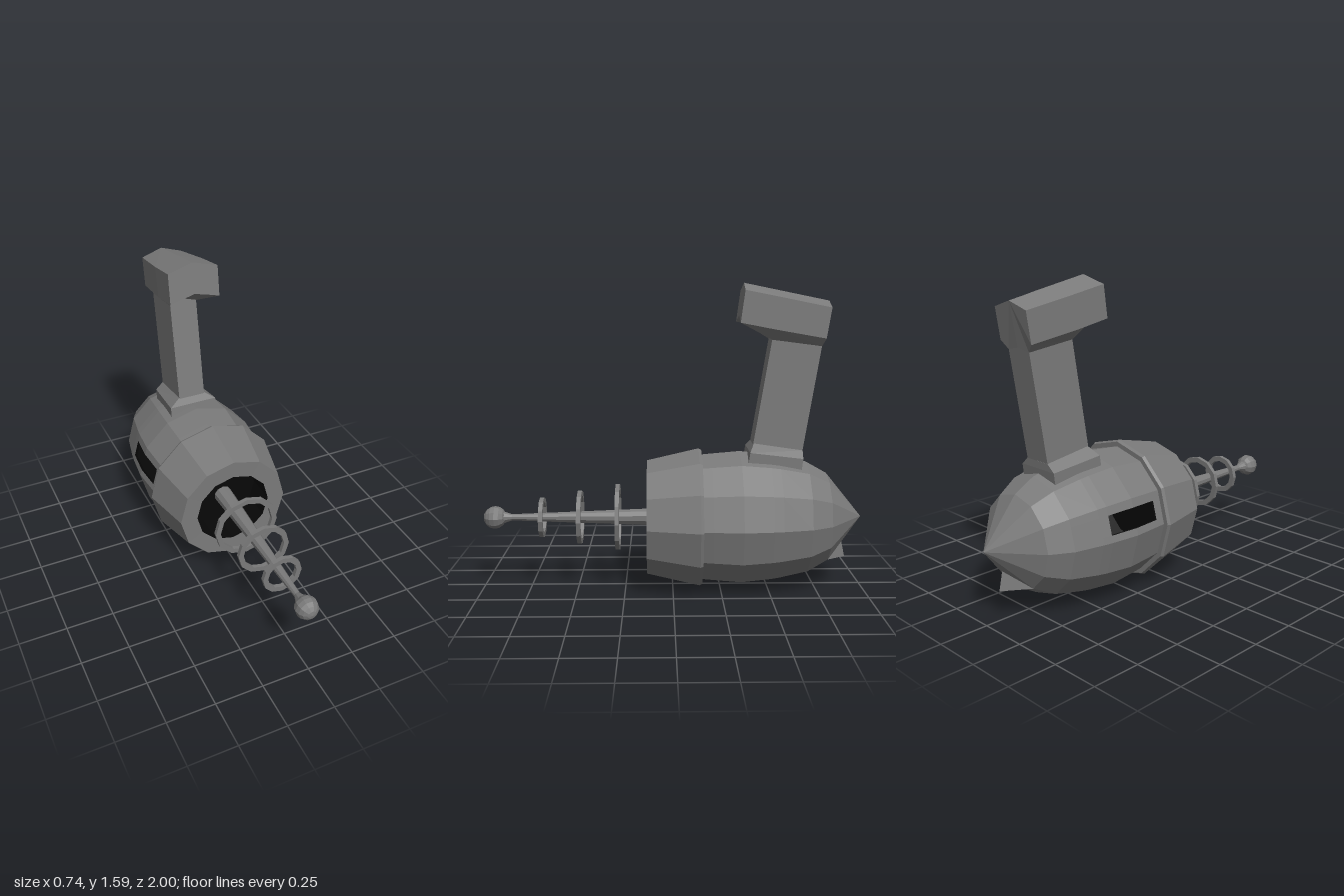
import * as THREE from 'three';

const AXIS = 0.37; // height of the barrel axis
const paint = (color, side) => new THREE.MeshStandardMaterial({ color, side, flatShading: true });
const grey = paint(0x7a7a7a, THREE.FrontSide);
const shellGrey = paint(0x7a7a7a, THREE.DoubleSide);
const dark = paint(0x080808, THREE.DoubleSide);

// Skins a row of equal-length loops; skip(section, side) leaves a panel open
function loft(loops, caps = true, skip = () => false) {
  const out = [];
  const n = loops[0].length;
  const tri = (a, b, c) => out.push(...a, ...b, ...c);
  for (let s = 0; s < loops.length - 1; s++) {
    for (let i = 0; i < n; i++) {
      if (skip(s, i)) continue;
      const j = (i + 1) % n;
      const a = loops[s], b = loops[s + 1];
      tri(a[i], b[i], a[j]);
      tri(a[j], b[i], b[j]);
    }
  }
  if (caps) {
    const first = loops[0], last = loops[loops.length - 1];
    for (let i = 1; i < n - 1; i++) {
      tri(first[0], first[i], first[i + 1]);
      tri(last[0], last[i + 1], last[i]);
    }
  }
  const g = new THREE.BufferGeometry();
  g.setAttribute('position', new THREE.Float32BufferAttribute(out, 3));
  g.computeVertexNormals();
  return g;
}

// Turned part lying along z; points are [radius, z]
function turned(points, sides) {
  const g = new THREE.LatheGeometry(points.map(([r, z]) => new THREE.Vector2(r, z)), sides);
  return g.rotateX(Math.PI / 2).translate(0, AXIS, 0);
}

// Closed loop from a ridge point, the outline of one side and a keel point
function mirrored(ridge, half, keel) {
  const left = half.map(([x, y, z]) => [-x, y, z]);
  return [ridge, ...left, keel, ...half.slice().reverse()];
}

export function createModel() {
  const model = new THREE.Group();
  const add = (name, geometry, material = grey) => {
    const mesh = new THREE.Mesh(geometry, material);
    mesh.name = name;
    model.add(mesh);
    return mesh;
  };

  // Twelve-sided section; the upper right facet gets two extra points for the slot
  const section = [];
  let slotSide = -1;
  for (let i = 0; i < 12; i++) {
    const a = (i * Math.PI) / 6, b = ((i + 1) * Math.PI) / 6;
    section.push([Math.cos(a), Math.sin(a)]);
    if (i === 5) {
      slotSide = section.length;
      for (const t of [0.25, 0.8]) {
        section.push([
          THREE.MathUtils.lerp(Math.cos(a), Math.cos(b), t),
          THREE.MathUtils.lerp(Math.sin(a), Math.sin(b), t),
        ]);
      }
    }
  }

  // Shell made of a front profile and a tail, with the slot in the first two tail bands
  const shell = (front, tail) => loft(
    [...front, ...tail].map(([r, z]) => section.map(([x, y]) => [x * r, AXIS + y * r, z])),
    false,
    (s, i) => i === slotSide && (s === front.length || s === front.length + 1),
  );

  // Hull: front rim, flared collar, pointed tail
  const tail = [[0.34, -0.2], [0.353, -0.35], [0.338, -0.5], [0.33, -0.55], [0.297, -0.7], [0.235, -0.81], [0, -1]];
  const collar = [[0.21, 0.133], [0.305, 0.135], [0.368, -0.135], [0.36, -0.15], [0.335, -0.15]];
  add('hull', shell(collar, tail), shellGrey);

  // Dark muzzle cup, continuing as a lining inside the hull
  const cup = [[0, -0.03], [0.207, -0.03], [0.209, 0.125], [0.29, 0.12], [0.32, -0.14]];
  const innerTail = tail.map(([r, z]) => [Math.max(r - 0.012, 0), Math.max(z, -0.98)]);
  add('hullLining', shell(cup, innerTail), dark);

  // Emitter rod, tip ball and floating rings
  add('emitterRod', turned([[0, -0.02], [0.05, 0], [0.045, 0.13], [0.017, 0.85], [0.035, 0.9]], 10));
  const ball = new THREE.SphereGeometry(0.06, 10, 8).rotateX(Math.PI / 2);
  add('emitterBall', ball).position.set(0, AXIS, 0.94);
  for (const [r, z] of [[0.178, 0.29], [0.143, 0.49], [0.107, 0.69]]) {
    const i = r - 0.028, a = z - 0.011, b = z + 0.011;
    add('emitterRing', turned([[i, a], [r, a], [r, b], [i, b], [i, a]], 12));
  }

  // Handle post, leaning backwards
  const quad = (wf, yf, zf, wb, yb, zb) => [[-wf, yf, zf], [wf, yf, zf], [wb, yb, zb], [-wb, yb, zb]];
  add('handlePost', loft([
    quad(0.075, 1.34, -0.51, 0.075, 1.31, -0.765),
    quad(0.075, 0.74, -0.41, 0.075, 0.7, -0.665),
  ]));

  // Handle base with sloping shoulders
  add('handleBase', loft([
    quad(0.075, 0.775, -0.418, 0.075, 0.738, -0.672),
    quad(0.135, 0.735, -0.395, 0.118, 0.7, -0.67),
    quad(0.135, 0.67, -0.385, 0.118, 0.62, -0.66),
  ]));

  // Handle head with ridged top, arched and bevelled underside, narrower back
  add('handleHead', loft([
    mirrored([0, 1.595, -0.365], [[0.137, 1.557, -0.36], [0.137, 1.395, -0.338], [0.075, 1.412, -0.34]], [0, 1.43, -0.342]),
    mirrored([0, 1.555, -0.56], [[0.133, 1.52, -0.55], [0.133, 1.36, -0.52], [0.078, 1.308, -0.505]], [0, 1.333, -0.505]),
    mirrored([0, 1.505, -0.805], [[0.113, 1.47, -0.8], [0.113, 1.315, -0.775], [0.075, 1.275, -0.76]], [0, 1.29, -0.765]),
  ]));

  // Small spur beneath the tail, rising from the hull to one point
  const tip = [0, 0.15, -0.92];
  const root = [[-0.118, 0.166, -0.81], [0, 0.135, -0.81], [0.118, 0.166, -0.81], [0, 0.246, -0.9]];
  add('tailSpur', loft([root, root.map(() => tip)], false), shellGrey);

  return model;
}
